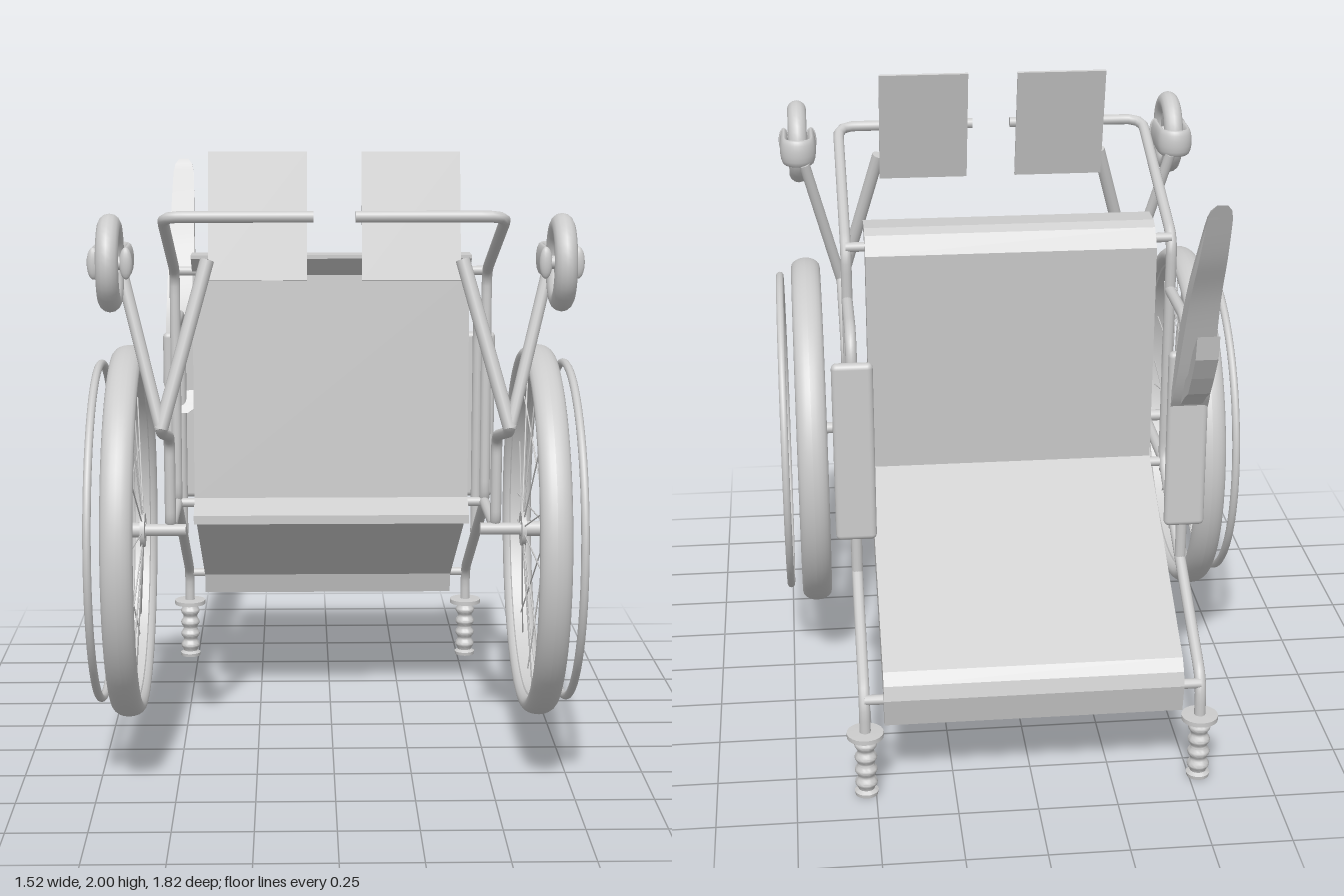
import * as THREE from 'three';
import { RoundedBoxGeometry } from 'three/addons/geometries/RoundedBoxGeometry.js';
import { toCreasedNormals } from 'three/addons/utils/BufferGeometryUtils.js';

const grey = new THREE.MeshStandardMaterial({ color: 0xcccccc, side: THREE.DoubleSide });
const V = (x, y, z) => new THREE.Vector3(x, y, z);

function add(parent, name, geometry) {
  const mesh = new THREE.Mesh(geometry, grey);
  mesh.name = name;
  parent.add(mesh);
  return mesh;
}

// Bent pipe through points, with rounded corners and capped ends
function pipe(parent, name, pts, r = 0.018, bend = 0.06) {
  const path = new THREE.CurvePath();
  let last = pts[0];
  for (let i = 1; i < pts.length - 1; i++) {
    const p = pts[i];
    const toward = q => p.clone().add(q.clone().sub(p).setLength(Math.min(bend, p.distanceTo(q) * 0.49)));
    const a = toward(pts[i - 1]), b = toward(pts[i + 1]);
    path.add(new THREE.LineCurve3(last, a));
    path.add(new THREE.QuadraticBezierCurve3(a, p, b));
    last = b;
  }
  path.add(new THREE.LineCurve3(last, pts[pts.length - 1]));
  const g = new THREE.Group();
  g.name = name;
  add(g, name + 'Tube', new THREE.TubeGeometry(path, pts.length > 2 ? 90 : 1, r, 12));
  for (const t of [0, 1]) {
    const cap = add(g, name + 'Cap', new THREE.CircleGeometry(r, 12));
    cap.position.copy(path.getPoint(t));
    cap.quaternion.setFromUnitVectors(V(0, 0, 1), path.getTangent(t).multiplyScalar(t ? 1 : -1));
  }
  parent.add(g);
}

// Side profile of [z, y] points, extruded across x about the middle
function slab(profile, width) {
  const shape = new THREE.Shape(profile.map(p => new THREE.Vector2(p[0], p[1])));
  const geo = new THREE.ExtrudeGeometry(shape, { depth: width, bevelEnabled: false, steps: 1 });
  return geo.translate(0, 0, -width / 2).rotateY(-Math.PI / 2);
}

// Smooth outline through two edges of a leaf-like profile
function leaf(left, right) {
  const spline = pts => new THREE.SplineCurve(pts.map(p => new THREE.Vector2(...p))).getPoints(30);
  const outline = [...spline(left), ...spline(right).slice(1, -1)];
  return outline.map(p => [p.x, p.y]);
}

function lathe(points, segments) {
  return new THREE.LatheGeometry(points.map(p => new THREE.Vector2(p[0], p[1])), segments);
}

function bigWheel(s) {
  const wheel = new THREE.Group();
  wheel.name = s > 0 ? 'leftWheel' : 'rightWheel';
  // tyre and rim, lathed about x
  const tyre = [];
  for (let i = 0; i <= 20; i++) {
    const a = i / 20 * Math.PI * 2;
    tyre.push([0.57 + 0.033 * Math.cos(a), 0.05 * Math.sin(a)]);
  }
  add(wheel, 'tyre', lathe(tyre, 72).rotateZ(Math.PI / 2));
  const rim = [[0.555, -0.035], [0.537, -0.025], [0.537, 0.025], [0.555, 0.035]];
  add(wheel, 'rim', toCreasedNormals(lathe(rim, 72).rotateZ(Math.PI / 2), 0.5));
  add(wheel, 'handRim', new THREE.TorusGeometry(0.543, 0.013, 10, 72).rotateY(Math.PI / 2)).position.x = s * 0.09;
  // hub
  add(wheel, 'hub', new THREE.CylinderGeometry(0.025, 0.025, 0.1, 20).rotateZ(Math.PI / 2));
  for (const x of [-0.04, 0.04])
    add(wheel, 'hubFlange', new THREE.CylinderGeometry(0.056, 0.056, 0.015, 24).rotateZ(Math.PI / 2)).position.x = x;
  // spokes, in degrees from the top
  [0, 12, 34, 46, 69, 90, 100, 136, 145, 165, 180, -165, -145, -136, -100, -90, -69, -46, -34, -12].forEach((deg, i) => {
    const a = deg * Math.PI / 180, x = i % 2 ? 0.04 : -0.04;
    const from = V(x, 0.04 * Math.cos(a), 0.04 * Math.sin(a)), to = V(0, 0.54 * Math.cos(a), 0.54 * Math.sin(a));
    const spoke = add(wheel, 'spoke', new THREE.CylinderGeometry(0.0025, 0.0025, from.distanceTo(to), 5));
    spoke.position.copy(from).lerp(to, 0.5);
    spoke.quaternion.setFromUnitVectors(V(0, 1, 0), to.clone().sub(from).normalize());
  });
  wheel.position.set(s * 0.66, 0.77, 0.31);
  return wheel;
}

function caster(s) {
  const c = new THREE.Group();
  c.name = s > 0 ? 'leftCaster' : 'rightCaster';
  add(c, 'casterTyre', new THREE.TorusGeometry(0.112, 0.034, 14, 40).rotateY(Math.PI / 2));
  add(c, 'casterDisc', new THREE.CylinderGeometry(0.085, 0.085, 0.025, 32).rotateZ(Math.PI / 2));
  add(c, 'casterAxle', new THREE.CylinderGeometry(0.02, 0.02, 0.12, 16).rotateZ(Math.PI / 2));
  // flattened U-shaped fork
  const u = [V(-0.048, 0, 0.015), V(-0.048, 0, -0.06), V(-0.048, 0, -0.12)];
  for (let i = 1; i < 8; i++) {
    const a = i / 8 * Math.PI;
    u.push(V(-0.048 * Math.cos(a), 0, -0.125 - 0.05 * Math.sin(a)));
  }
  u.push(V(0.048, 0, -0.12), V(0.048, 0, -0.06), V(0.048, 0, 0.015));
  add(c, 'casterFork', new THREE.TubeGeometry(new THREE.CatmullRomCurve3(u), 48, 0.015, 14)).scale.y = 3.2;
  for (const x of [-0.048, 0.048]) {
    const end = add(c, 'forkEnd', new THREE.SphereGeometry(0.015, 14, 10));
    end.scale.set(1.3, 3.2, 1);
    end.position.set(x, 0, 0.012);
  }
  c.position.set(s * 0.67, 1.69, 0.77);
  return c;
}

// Ribbed push handle with a flange
function handle(s, parent) {
  const pts = [[0, 0], [0.036, 0], [0.038, 0.012]];
  for (let i = 0; i <= 32; i++) pts.push([0.031 - 0.005 * Math.cos(i / 32 * Math.PI * 8), 0.02 + i / 32 * 0.18]);
  pts.push([0.058, 0.205], [0.058, 0.22], [0.02, 0.222], [0, 0.222]);
  add(parent, 'pushHandle', toCreasedNormals(lathe(pts, 24), 0.8)).position.set(s * 0.53, 0, -0.85);
}

export function createModel() {
  const chair = new THREE.Group();
  chair.name = 'tippedWheelchair';

  for (const s of [-1, 1]) {
    const x = s * 0.53;
    chair.add(bigWheel(s), caster(s));
    handle(s, chair);

    // frame: footrest bar, leg, seat rail, back rail, handle
    pipe(chair, 'mainFrame', [V(s * 0.065, 1.805, 0.52), V(x, 1.805, 0.52), V(x, 1.57, -0.12),
      V(x, 0.77, -0.09), V(x, 0.34, -0.85), V(x, 0.2, -0.85)]);
    pipe(chair, 'lowerFrame', [V(x, 1.2, 0.72), V(x, 1.165, 0.7), V(x, 1.08, 0.31), V(x, 0.77, 0.31), V(x, 0.77, -0.1)]);
    pipe(chair, 'wheelAxle', [V(s * 0.48, 0.77, 0.31), V(s * 0.68, 0.77, 0.31)], 0.02);
    pipe(chair, 'casterStem', [V(x, 1.18, 0.72), V(s * 0.65, 1.65, 0.605)], 0.019);
    pipe(chair, 'frontStrut', [V(x, 1.18, 0.72), V(s * 0.39, 1.68, 0.595)], 0.022);
    for (const [y, z] of [[1.57, -0.11], [0.77, -0.1], [0.33, -0.845]])
      pipe(chair, 'crossBar', [V(x, y, z), V(s * 0.44, y, z)], 0.016);

    // armrest
    pipe(chair, 'armrestTube', [V(x, 1.39, -0.11), V(x, 1.39, -0.44), V(x, 0.58, -0.44)], 0.018, 0.11);
    add(chair, 'armrestPad', new RoundedBoxGeometry(0.13, 0.6, 0.038, 3, 0.017)).position.set(x, 1.01, -0.475);

    // footplate
    const plate = add(chair, 'footplate', new THREE.BoxGeometry(0.305, 0.4, 0.01));
    plate.position.set(s * 0.237, 1.805, 0.492);
    plate.rotation.x = -Math.atan2(0.1, 0.385);
  }

  // seat and backrest
  add(chair, 'seat', slab([[-0.02, 1.632], [-0.11, 1.632], [-0.14, 1.615], [-0.188, 1.56], [-0.152, 0.81],
    [-0.12, 0.72], [0, 0.715], [0, 0.745], [-0.08, 0.79], [-0.116, 1.555], [-0.02, 1.62]], 0.94));
  add(chair, 'backrest', slab([[-0.1, 0.73], [-0.135, 0.825], [-0.845, 0.425], [-0.875, 0.39], [-0.888, 0.345],
    [-0.868, 0.25], [-0.845, 0.25], [-0.825, 0.325]], 0.94));

  // long curved blade on the right armrest, tapered toward its tip
  const blade = slab(leaf(
    [[-0.875, 1.905], [-0.75, 1.74], [-0.64, 1.585], [-0.545, 1.39], [-0.485, 1.16], [-0.405, 1.03]],
    [[-0.405, 1.03], [-0.47, 1.1], [-0.55, 1.23], [-0.68, 1.54], [-0.785, 1.72], [-0.875, 1.905]]), 2);
  const p = blade.attributes.position;
  for (let i = 0; i < p.count; i++) {
    const y = p.getY(i), edge = Math.min(1, Math.max(0, Math.min(y - 1.03, 1.905 - y)) / 0.06);
    const taper = 0.06 - 0.024 * Math.max(0, (y - 1.15) / 0.75);
    p.setX(i, p.getX(i) * taper * (0.45 + 0.55 * Math.sqrt(edge * (2 - edge))));
  }
  blade.computeVertexNormals();
  add(chair, 'curvedBlade', toCreasedNormals(blade, 0.6)).position.x = -0.533;

  // clip behind the blade
  add(chair, 'bladeClip', slab([[-0.755, 1.46], [-0.69, 1.39], [-0.63, 1.29], [-0.59, 1.26], [-0.525, 1.15],
    [-0.59, 1.2], [-0.64, 1.23], [-0.69, 1.3], [-0.74, 1.38]], 0.07)).position.x = -0.533;

  return chair;
}
